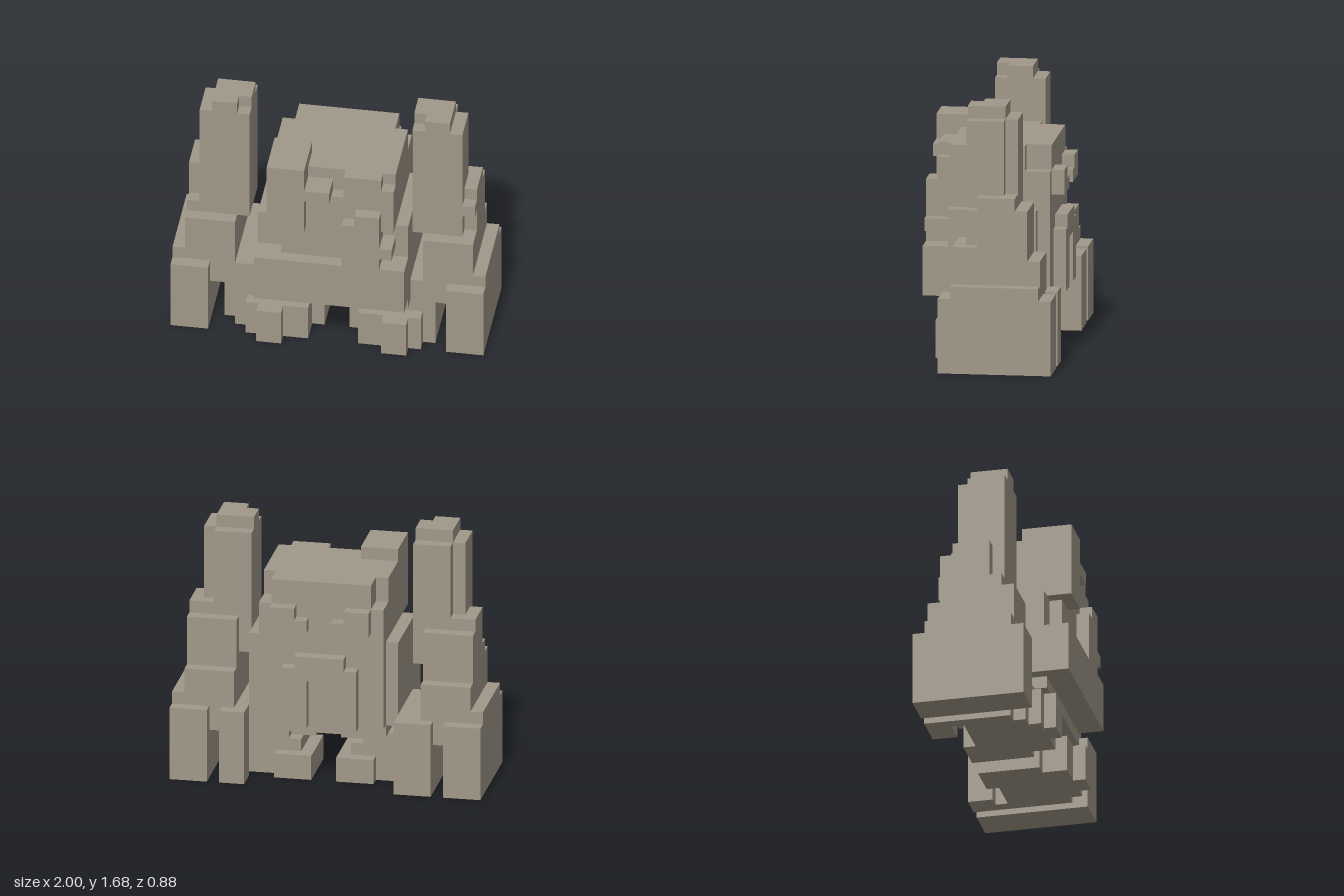
import * as THREE from 'three';

export function createModel() {
  const model = new THREE.Group();
  model.name = 'blockStatue';
  const stone = new THREE.MeshStandardMaterial({ color: 0xa09888, flatShading: true });
  stone.name = 'stone';

  // Each block is [x0, x1, y0, y1, z0, z1]
  function part(name, blocks) {
    const group = new THREE.Group();
    group.name = name;
    for (const [x0, x1, y0, y1, z0, z1] of blocks) {
      const mesh = new THREE.Mesh(new THREE.BoxGeometry(x1 - x0, y1 - y0, z1 - z0), stone);
      mesh.name = name + 'Block';
      mesh.position.set((x0 + x1) / 2, (y0 + y1) / 2, (z0 + z1) / 2);
      group.add(mesh);
    }
    model.add(group);
  }
  const mirror = (blocks) => blocks.map(([a, b, ...rest]) => [-b, -a, ...rest]);

  // Stepped side towers, mirrored
  const tower = [
    [0.52, 0.84, 0.8, 1.6, -0.12, 0.12],
    [0.52, 0.76, 0.8, 1.6, -0.2, -0.12],
    [0.52, 0.76, 1.6, 1.68, -0.12, 0.04],
    [0.6, 0.76, 1.6, 1.68, 0.04, 0.12],
    [0.6, 0.92, 0.72, 1.12, -0.2, 0.04],
    [0.6, 0.92, 0.72, 1.04, -0.28, -0.2],
    [0.6, 0.92, 0.32, 0.8, -0.28, 0.2],
    [0.6, 0.92, 0.32, 0.72, -0.36, -0.28],
    [0.76, 1, 0.48, 0.56, -0.36, 0.2],
    [0.76, 1, 0, 0.48, -0.44, 0.28],
  ];
  part('leftTower', [...tower, [0.84, 0.92, 0.96, 1.04, 0.04, 0.12]]);
  part('rightTower', [...mirror(tower), [-0.92, -0.84, 0.8, 0.88, 0.04, 0.12]]);

  // Rear legs joining the towers to the body
  part('leftRearLeg', [
    [0.52, 0.68, 0, 0.48, -0.44, -0.28],
    [0.52, 0.62, 0.32, 0.48, -0.36, 0.2],
  ]);
  part('rightRearLeg', [
    [-0.68, -0.44, 0, 0.48, -0.44, -0.28],
    [-0.62, -0.44, 0.32, 0.48, -0.36, 0.2],
  ]);

  // Body with a raised front plate
  part('body', [
    [-0.36, 0.52, 0.32, 0.4, -0.28, 0.28],
    [-0.44, 0.52, 0.4, 0.96, -0.28, 0.28],
    [-0.36, 0.44, 0.4, 0.96, -0.36, -0.28],
    [-0.28, 0.36, 0.72, 0.96, 0.28, 0.36],
  ]);
  part('frontPlate', [
    [-0.44, 0.52, 0.4, 0.72, 0.28, 0.44],
    [0.12, 0.36, 0.72, 1.04, 0.36, 0.44],
    [0.2, 0.36, 1.04, 1.12, 0.36, 0.44],
    [0.36, 0.44, 0.8, 0.88, 0.28, 0.44],
  ]);

  // Head with notched corners
  part('head', [
    [-0.28, 0.36, 0.96, 1.36, -0.36, 0.28],
    [-0.36, 0.44, 0.96, 1.36, -0.2, 0.28],
    [-0.36, 0.44, 0.96, 1.2, -0.36, -0.2],
    [0.36, 0.44, 0.96, 1.28, 0.28, 0.36],
    [-0.12, 0.36, 0.96, 1.2, 0.28, 0.36],
    [0.12, 0.36, 1.2, 1.36, 0.28, 0.36],
  ]);
  part('frontColumn', [
    [-0.36, -0.12, 0.96, 1.44, 0.12, 0.44],
    [-0.12, 0.04, 1.2, 1.28, 0.28, 0.44],
  ]);
  part('rearBrows', [
    [0.12, 0.36, 1.04, 1.12, -0.44, -0.36],
    [0.2, 0.36, 1.12, 1.2, -0.44, -0.36],
    [-0.28, -0.04, 1.04, 1.12, -0.44, -0.36],
    [-0.28, -0.12, 1.12, 1.2, -0.44, -0.36],
  ]);

  // Arched frame on the rear
  part('rearArch', [
    [0.12, 0.28, 0.4, 0.8, -0.44, -0.36],
    [-0.2, -0.04, 0.4, 0.8, -0.44, -0.36],
    [-0.04, 0.12, 0.72, 0.88, -0.44, -0.36],
    [-0.12, 0.2, 0.8, 0.88, -0.44, -0.36],
  ]);

  // Feet with stepped toes
  part('leftFoot', [
    [0.2, 0.6, 0, 0.24, -0.2, 0.28],
    [0.28, 0.6, 0.24, 0.32, -0.2, 0.2],
    [0.12, 0.28, 0.24, 0.32, -0.12, 0.2],
    [0.12, 0.36, 0, 0.16, -0.28, 0.12],
    [0.36, 0.52, 0, 0.24, 0.28, 0.36],
    [0.6, 0.68, 0, 0.32, -0.28, 0.2],
  ]);
  part('rightFoot', [
    [-0.52, -0.12, 0, 0.24, -0.2, 0.28],
    [-0.6, -0.2, 0, 0.32, -0.2, 0.2],
    [-0.2, -0.04, 0.24, 0.32, -0.12, 0.2],
    [-0.28, -0.04, 0, 0.16, -0.28, 0.12],
    [-0.44, -0.28, 0, 0.24, 0.28, 0.36],
    [-0.68, -0.6, 0, 0.32, -0.28, 0.12],
  ]);

  return model;
}
